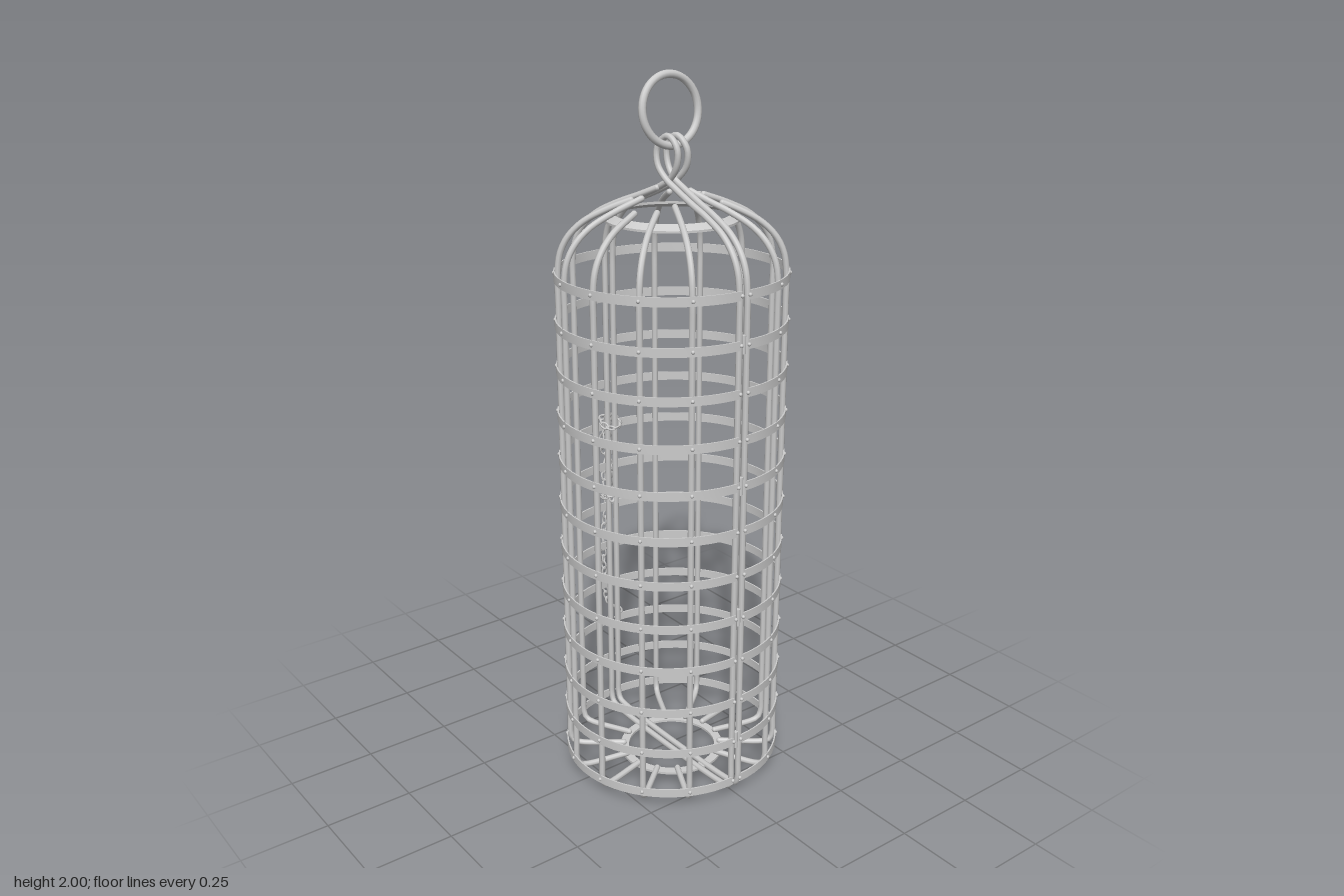
import * as THREE from 'three';
import { toCreasedNormals } from 'three/addons/utils/BufferGeometryUtils.js';

const metal = new THREE.MeshStandardMaterial({ color: 0xcccccc });
const thin = new THREE.MeshStandardMaterial({ color: 0xcccccc, side: THREE.DoubleSide });
const V = (x, y, z) => new THREE.Vector3(x, y, z);

const R = 0.296;        // radius of the bar circle
const BAR = 0.0088;     // bar thickness (radius)
const SEAM = 0.013;     // offset of each half from the seam plane
const FLOOR = 0.0138;   // height of the floor bars
const BAND_YS = Array.from({ length: 12 }, (_, i) => 0.045 + i * 0.13);

// Upright and dome profile: [distance from axis, height]
const UPRIGHT = [[0.27, FLOOR], [0.288, 0.022], [R, 0.045], [R, 0.1], [R, 0.75], [R, 1.4]];
const DOME = [[0.295, 1.475], [0.287, 1.53], [0.265, 1.575], [0.225, 1.615], [0.16, 1.65], [0.1, 1.674], [0.04, 1.7]];

function add(parent, name, geometry, material = metal) {
  const mesh = new THREE.Mesh(geometry, material);
  mesh.name = name;
  parent.add(mesh);
  return mesh;
}

function tube(parent, name, points, segments, closed = false) {
  const curve = new THREE.CatmullRomCurve3(points, closed);
  add(parent, name, new THREE.TubeGeometry(curve, segments, BAR, 8, closed));
  if (closed) return;
  for (const p of [points[0], points[points.length - 1]]) {
    add(parent, name + 'Tip', new THREE.SphereGeometry(BAR, 8, 6)).position.copy(p);
  }
}

// Flat or sloped strip turned around the axis
function strip(corners, start = 0, length = Math.PI * 2) {
  const pts = [...corners, corners[0]].map(([r, y]) => new THREE.Vector2(r, y));
  return toCreasedNormals(new THREE.LatheGeometry(pts, length < 4 ? 32 : 64, start, length), 0.6);
}

function domeHeight(r) {
  for (let i = 1; i < DOME.length; i++) {
    const [r0, y0] = DOME[i - 1], [r1, y1] = DOME[i];
    if (r >= r1) return y0 + (y1 - y0) * (r0 - r) / (r0 - r1);
  }
  return DOME[DOME.length - 1][1];
}

// One bar: from the floor ring, up the wall and over the dome to its own end
function cageBar(parent, angle, [ex, ez]) {
  const c = Math.cos(angle), s = Math.sin(angle);
  const at = (r, y) => V(SEAM + r * c, y, r * s);
  const endR = Math.hypot(ex, ez);
  const start = at(R, 0);
  const pts = [at(0.135, FLOOR), ...UPRIGHT.map(p => at(...p))];
  for (const [r, y] of DOME) {
    if (r < endR + 0.02) break;
    const t = (DOME[0][0] - r) / (DOME[0][0] - endR);
    pts.push(V(start.x + (ex - start.x) * t, y, start.z + (ez - start.z) * t));
  }
  pts.push(V(ex, domeHeight(endR), ez));
  tube(parent, 'cageBar', pts, 110);
}

// Seam bar: one closed rod, twisted into an eye at the top
function seamBar(parent) {
  const leg = side => [
    ...UPRIGHT.map(([r, y]) => V(SEAM, y, side * r)),
    ...DOME.map(([r, y]) => V(SEAM, y, side * r)),
  ];
  const eye = [
    V(0.019, 1.727, 0.004), V(0.025, 1.76, 0.029), V(0.023, 1.8, 0.035), V(0.017, 1.827, 0.02),
    V(0.014, 1.836, 0), V(0.012, 1.827, -0.02), V(0.009, 1.8, -0.035), V(0.008, 1.76, -0.029),
    V(0.008, 1.727, -0.004),
  ];
  tube(parent, 'seamBarWithEye', [...leg(-1), ...eye, ...leg(1).reverse()], 420, true);
}

function cageHalf(name, ends) {
  const half = new THREE.Group();
  half.name = name;
  const step = Math.PI / 7;
  ends.forEach((end, i) => cageBar(half, -Math.PI / 2 + step * (i + 1), end));
  seamBar(half);

  // Half-round bands with a rivet at each bar
  const band = strip([[0.302, -0.0125], [0.306, -0.0125], [0.306, 0.0125], [0.302, 0.0125]], 0, Math.PI);
  const rivet = new THREE.SphereGeometry(0.0055, 8, 6);
  for (const y of BAND_YS) {
    add(half, 'band', band, thin).position.set(SEAM, y, 0);
    for (let i = 0; i < 8; i++) {
      const a = -Math.PI / 2 + step * i;
      add(half, 'rivet', rivet).position.set(SEAM + 0.306 * Math.cos(a), y, 0.306 * Math.sin(a));
    }
  }
  return half;
}

// Chain of oval links along a curve, every other link turned a quarter
function chain(name, points, closed = false) {
  const group = new THREE.Group();
  group.name = name;
  const curve = new THREE.CatmullRomCurve3(points, closed);
  const link = new THREE.TorusGeometry(0.008, 0.0028, 6, 12);
  link.scale(1, 1.6, 1);
  const count = Math.max(2, Math.round(curve.getLength() / 0.021));
  for (let i = 0; i < count; i++) {
    const t = closed ? i / count : i / (count - 1);
    const mesh = add(group, 'link', link);
    mesh.position.copy(curve.getPointAt(t));
    mesh.quaternion.setFromUnitVectors(V(0, 1, 0), curve.getTangentAt(t));
    mesh.rotateY(i % 2 ? Math.PI / 4 : -Math.PI / 4);
  }
  return group;
}

export function createModel() {
  const model = new THREE.Group();
  model.name = 'hangingCage';

  const cage = new THREE.Group();
  cage.name = 'cage';
  cage.position.z = 0.02;
  model.add(cage);

  // Two halves, the second turned half a circle
  cage.add(cageHalf('leftHalf',
    [[0.06, -0.09], [0.075, -0.05], [0.11, -0.025], [0.09, 0.02], [0.11, 0.075], [0.03, 0.04]]));
  const right = cageHalf('rightHalf',
    [[0.06, -0.09], [0.11, -0.08], [0.145, -0.03], [0.085, 0.02], [0.09, 0.06], [0.02, 0.04]]);
  right.rotation.y = Math.PI;
  cage.add(right);

  // Floor ring under the bars and sloped ring inside the dome
  add(cage, 'floorRing', strip([[0.13, 0], [0.155, 0], [0.155, 0.007], [0.13, 0.007]]));
  add(cage, 'domeRing', strip([[0.155, 1.63], [0.18, 1.618], [0.18, 1.624], [0.155, 1.637]]));

  // Hinge knuckles on the front seam
  for (const y of [BAND_YS[1], BAND_YS[4], BAND_YS[7], BAND_YS[10]]) {
    add(cage, 'hinge', new THREE.CylinderGeometry(0.007, 0.007, 0.05, 10)).position.set(0, y, 0.298);
  }

  // Hanging ring through the eyes
  const ring = add(cage, 'hangingRing', new THREE.TorusGeometry(0.09, 0.0105, 10, 48));
  ring.position.set(0, 1.9, -0.007);
  ring.rotation.x = -0.12;

  // Chain wound around the back seam, with loose ends
  const loop = (y, tilt) => Array.from({ length: 8 }, (_, i) => {
    const a = i * Math.PI / 4;
    return V(0.03 * Math.cos(a), y + tilt * Math.sin(a), -0.279 + 0.026 * Math.sin(a));
  });
  model.add(chain('upperChainWrap', loop(0.965, -0.012), true));
  model.add(chain('lowerChainWrap', loop(0.73, 0.012), true));
  model.add(chain('chainStrand',
    [V(0.01, 0.97, -0.295), V(-0.02, 0.9, -0.3), V(0.02, 0.8, -0.305), V(0.02, 0.72, -0.315)]));
  model.add(chain('chainStrand',
    [V(-0.01, 0.97, -0.285), V(0.01, 0.88, -0.3), V(-0.025, 0.8, -0.285), V(-0.015, 0.73, -0.26)]));
  model.add(chain('looseChain',
    [V(-0.01, 0.71, -0.29), V(-0.022, 0.6, -0.295), V(-0.015, 0.45, -0.302), V(0, 0.36, -0.305), V(0.025, 0.33, -0.288)]));
  return model;
}
